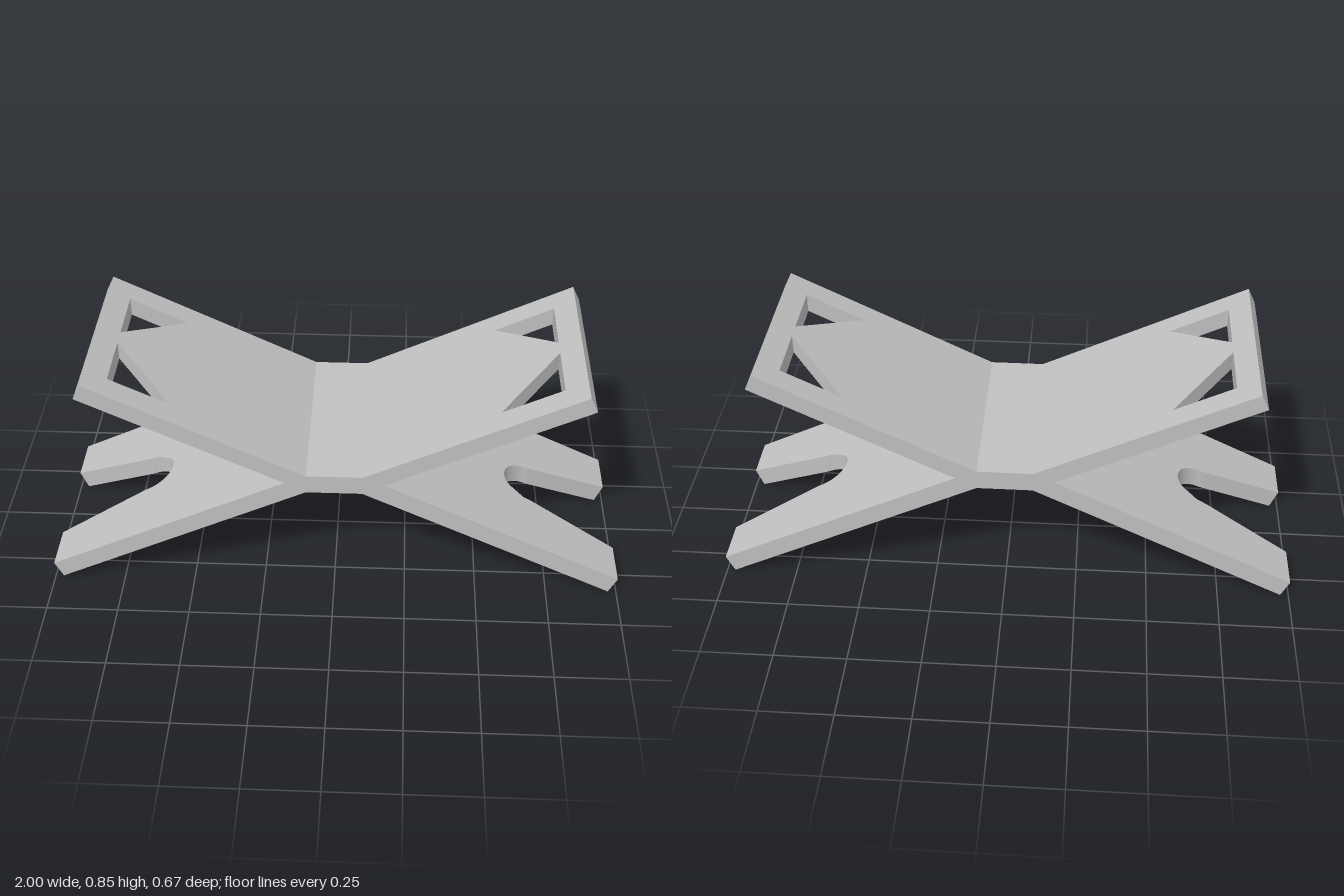
import * as THREE from 'three';
import { toCreasedNormals } from 'three/addons/utils/BufferGeometryUtils.js';

const HALF = 0.335;          // half width along z
const ROOT = 0.11;           // where the arms leave the hub
const gray = new THREE.MeshStandardMaterial({ color: 0xc0c0c0 });
gray.name = 'plain gray';

const polygon = (pts, Type = THREE.Shape) => new Type(pts.map(([x, y]) => new THREE.Vector2(x, y)));

// Sloping plate: a plan outline cut vertically, with its tip squared off to the slope.
// baseY is the height of the underside at the root.
function slopedPlate(shape, { thick, baseY, slope, tip, flare = 1 }) {
  const cos = 1 / Math.hypot(1, slope);
  const height = thick / cos;
  const geo = new THREE.ExtrudeGeometry(shape, { depth: height, bevelEnabled: false, curveSegments: 24 });
  geo.rotateX(Math.PI / 2).translate(0, height, 0);
  const p = geo.attributes.position;
  for (let i = 0; i < p.count; i++) {
    let x = p.getX(i), z = p.getZ(i);
    const isTop = p.getY(i) > height / 2;
    if (x > tip - 1e-4 && isTop === slope < 0) {
      x += thick * Math.abs(slope) * cos;
      if (Math.abs(z) < HALF - 0.01) z *= flare;
    }
    p.setXYZ(i, x, baseY + p.getY(i) + slope * (x - ROOT), z);
  }
  return toCreasedNormals(geo, 0.2);
}

// Upper arm with two triangular windows
function upperArm() {
  const tip = 0.823;
  const shape = polygon([[ROOT, -HALF], [tip, -HALF], [tip, HALF], [ROOT, HALF]]);
  for (const s of [-1, 1]) {
    shape.holes.push(polygon([[0.55, s * 0.244], [0.751, s * 0.244], [0.751, s * 0.031]], THREE.Path));
  }
  return slopedPlate(shape, { thick: 0.06, baseY: 0.4325, slope: 0.485, tip });
}

// Lower arm with a flared, round-ended slot that leaves two feet
function lowerArm() {
  const tip = 0.9715;
  const shape = polygon([[ROOT, -HALF], [tip, -HALF], [tip, -0.163], [0.694, -0.09]]);
  shape.absarc(0.694, 0, 0.09, -Math.PI / 2, Math.PI / 2, true);
  shape.lineTo(tip, 0.163);
  shape.lineTo(tip, HALF);
  shape.lineTo(ROOT, HALF);
  return slopedPlate(shape, { thick: 0.066, baseY: 0.415, slope: -0.482, tip, flare: 1.045 });
}

// Central hub joining the four arms
function hubGeometry() {
  const side = [[0.095, 0.422], [0.11, 0.415], [0.167, 0.46], [0.11, 0.4993], [0.095, 0.492]];
  const other = side.map(([x, y]) => [-x, y]).reverse();
  const geo = new THREE.ExtrudeGeometry(polygon([...side, ...other]), { depth: 2 * HALF, bevelEnabled: false });
  return geo.translate(0, 0, -HALF);
}

export function createModel() {
  const model = new THREE.Group();
  model.name = 'crossStand';
  const add = (name, geo, turn = 0) => {
    const mesh = new THREE.Mesh(geo, gray);
    mesh.name = name;
    mesh.rotation.y = turn;
    model.add(mesh);
  };

  add('hub', hubGeometry());
  const upper = upperArm(), lower = lowerArm();
  for (const [side, turn] of [['left', 0], ['right', Math.PI]]) {
    add(side + 'UpperArm', upper, turn);
    add(side + 'LowerArm', lower, turn);
  }
  return model;
}
